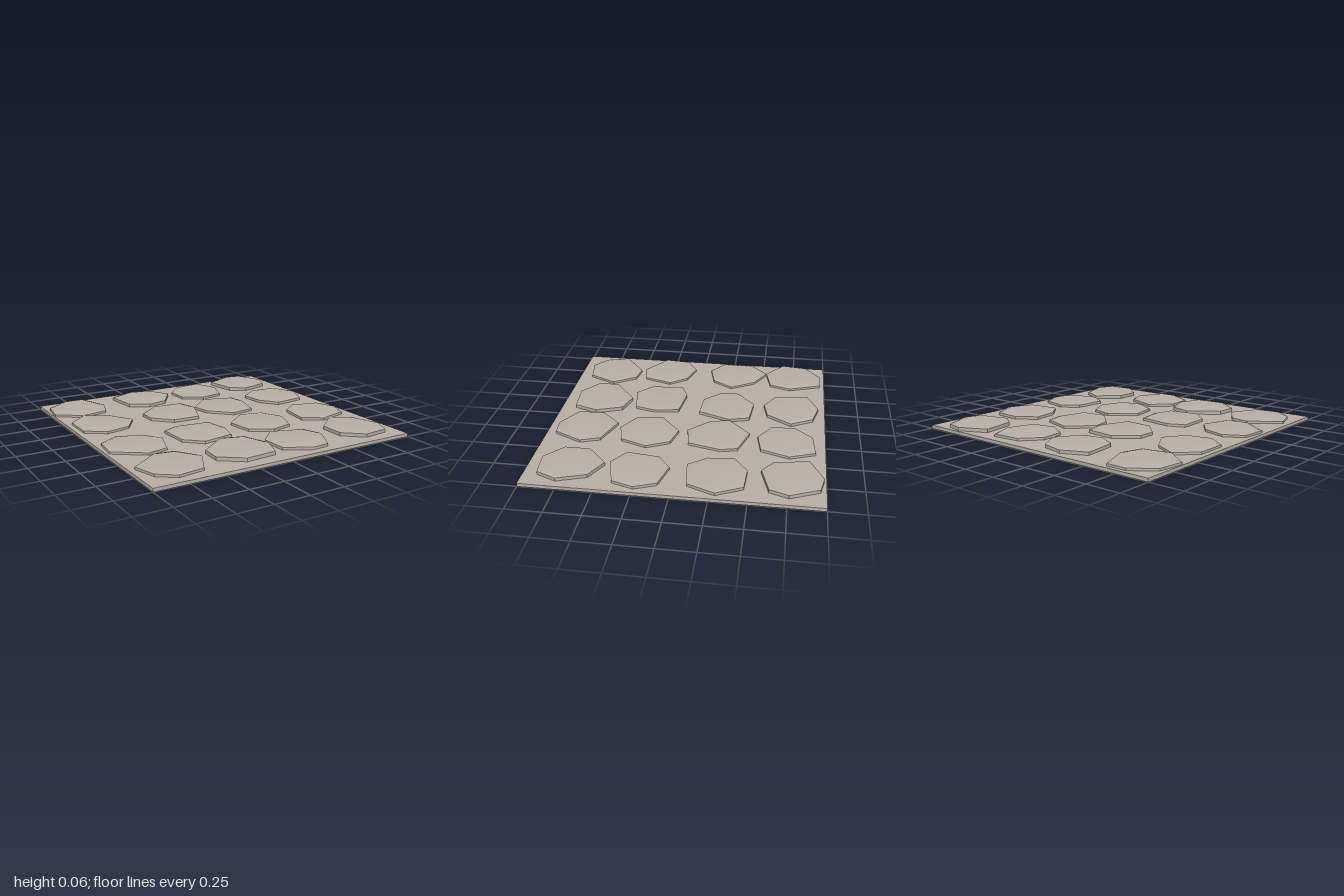
import * as THREE from 'three';
import { mergeGeometries } from 'three/addons/utils/BufferGeometryUtils.js';

const BASE_TOP = 0.024;

function surface(points, index) {
  const g = new THREE.BufferGeometry();
  g.setAttribute('position', new THREE.Float32BufferAttribute(points.flat(), 3));
  g.setIndex(index);
  return g;
}

// One cobble: crisp upright sides under a softly shaded, bevelled cap
function cobbleGeometry(top, outline) {
  const n = outline.length;
  const cx = outline.reduce((s, p) => s + p[0], 0) / n;
  const cz = outline.reduce((s, p) => s + p[1], 0) / n;
  const ring = (scale, y) => outline.map(([x, z]) => [cx + (x - cx) * scale, y, cz + (z - cz) * scale]);
  const rimY = top - 0.01;
  const sideIndex = [], capIndex = [];
  for (let i = 0; i < n; i++) {
    const j = (i + 1) % n;
    sideIndex.push(i, n + i, j, j, n + i, n + j);
    capIndex.push(i, n + i, j, j, n + i, n + j, 2 * n, n + j, n + i);
  }
  const sides = surface([...ring(1, BASE_TOP - 0.006), ...ring(1, rimY)], sideIndex).toNonIndexed();
  sides.computeVertexNormals();
  const cap = surface([...ring(1, rimY), ...ring(0.84, top - 0.001), [cx, top, cz]], capIndex);
  cap.computeVertexNormals();
  return mergeGeometries([sides, cap.toNonIndexed()]);
}

export function createModel() {
  const model = new THREE.Group();
  model.name = 'cobblestoneTile';
  const stone = new THREE.MeshStandardMaterial({ color: 0xb8b0a6 });
  stone.name = 'warm grey stone';

  // Square slab
  const slab = new THREE.Mesh(new THREE.BoxGeometry(2, BASE_TOP, 2), stone);
  slab.name = 'slab';
  slab.position.y = BASE_TOP / 2;
  model.add(slab);

  const cobble = (top, ...outline) => {
    const mesh = new THREE.Mesh(cobbleGeometry(top, outline), stone);
    mesh.name = 'cobble';
    model.add(mesh);
  };

  // Back row: height, then the seven corners as x, z
  cobble(0.05, [-.57, -.73], [-.62, -.57], [-.82, -.53], [-.995, -.66], [-.97, -.85], [-.81, -.97], [-.66, -.97]);
  cobble(0.056, [.01, -.75], [-.11, -.57], [-.26, -.54], [-.4, -.62], [-.43, -.87], [-.25, -.95], [-.08, -.91]);
  cobble(0.052, [.46, -.75], [.39, -.55], [.22, -.52], [.07, -.61], [.06, -.78], [.18, -.91], [.39, -.93]);
  cobble(0.059, [.93, -.76], [.88, -.63], [.66, -.57], [.55, -.65], [.51, -.89], [.71, -.985], [.84, -.96]);

  // Second row
  cobble(0.05, [-.54, -.26], [-.64, -.11], [-.82, -.07], [-.96, -.17], [-.96, -.4], [-.82, -.53], [-.65, -.44]);
  cobble(0.055, [0, -.29], [-.09, -.06], [-.29, -.07], [-.42, -.2], [-.42, -.33], [-.26, -.46], [-.04, -.44]);
  cobble(0.052, [.43, -.27], [.37, -.04], [.19, -.01], [.04, -.16], [.01, -.3], [.18, -.46], [.4, -.39]);
  cobble(0.054, [.96, -.29], [.88, -.1], [.65, -.07], [.55, -.2], [.53, -.38], [.67, -.48], [.87, -.47]);

  // Third row
  cobble(0.05, [-.55, .24], [-.62, .45], [-.77, .48], [-.98, .33], [-.96, .14], [-.82, .06], [-.65, .11]);
  cobble(0.053, [-.07, .28], [-.11, .43], [-.34, .47], [-.46, .36], [-.47, .12], [-.35, .07], [-.1, .1]);
  cobble(0.052, [.45, .25], [.38, .44], [.22, .48], [.06, .39], [.03, .2], [.21, .05], [.37, .09]);
  cobble(0.053, [.96, .24], [.91, .39], [.69, .45], [.55, .36], [.58, .13], [.7, .04], [.9, .09]);

  // Front row
  cobble(0.051, [-.5, .7], [-.6, .9], [-.79, .93], [-.91, .84], [-.96, .67], [-.75, .51], [-.61, .53]);
  cobble(0.06, [0, .72], [-.06, .89], [-.29, .91], [-.45, .79], [-.44, .64], [-.23, .48], [-.07, .53]);
  cobble(0.053, [.44, .73], [.34, .93], [.21, .94], [.03, .84], [.02, .65], [.16, .51], [.39, .59]);
  cobble(0.058, [.94, .76], [.88, .9], [.69, .92], [.55, .8], [.55, .62], [.71, .48], [.87, .56]);

  return model;
}
